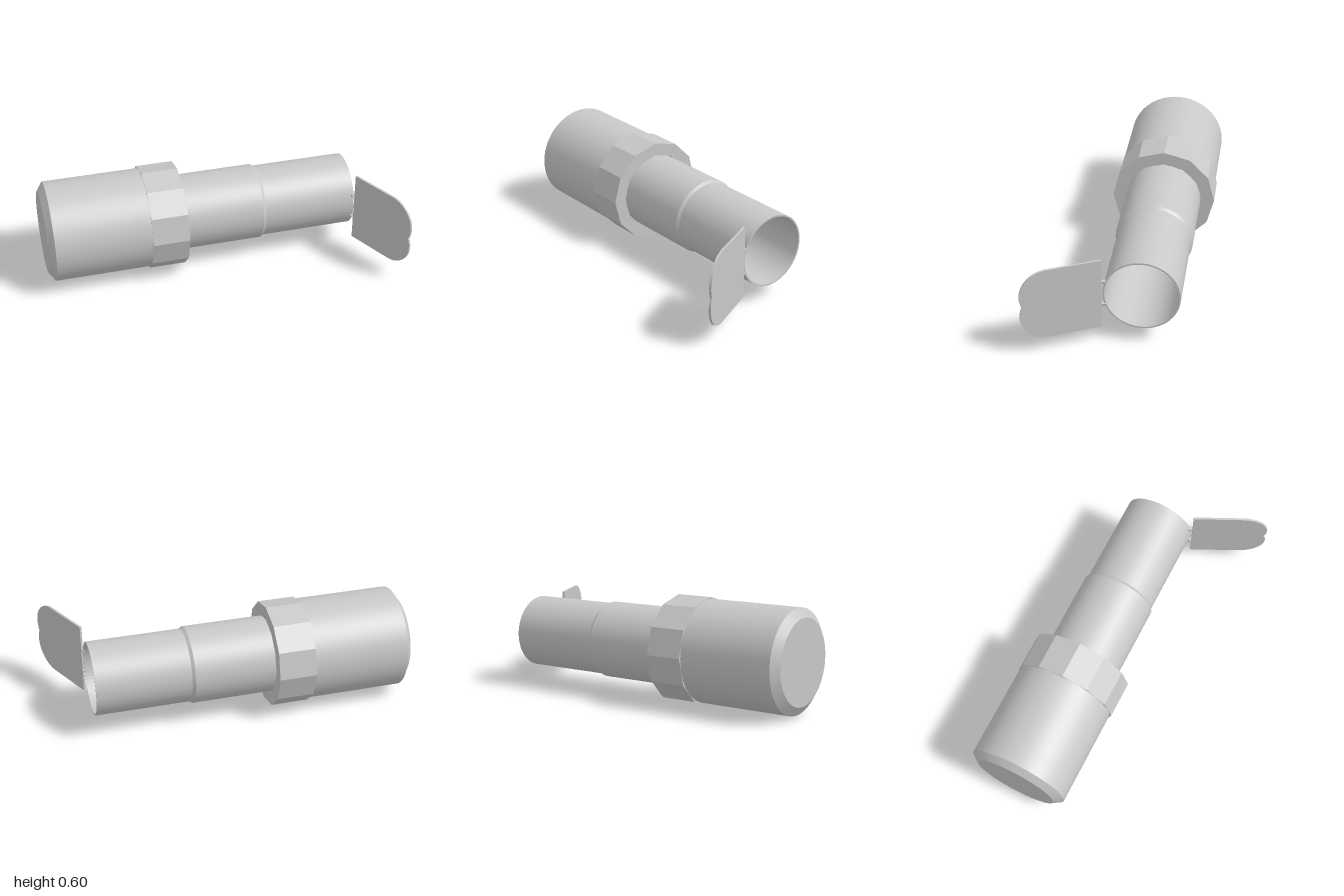
import * as THREE from 'three';
import { toCreasedNormals } from 'three/addons/utils/BufferGeometryUtils.js';

const AXIS_Y = 0.3, AXIS_Z = -0.155;

export function createModel() {
  const group = new THREE.Group();
  const metal = new THREE.MeshStandardMaterial({ color: 0xc8c8c8 });
  metal.name = 'grey metal';

  function add(name, geometry, x, y, z) {
    const mesh = new THREE.Mesh(geometry, metal);
    mesh.name = name;
    mesh.position.set(x, y, z);
    group.add(mesh);
    return mesh;
  }

  // Turned part along the x axis; profile points are [radius, x]
  function turned(name, profile, segments = 72) {
    const points = profile.map(([r, x]) => new THREE.Vector2(r, x));
    const geometry = new THREE.LatheGeometry(points, segments);
    geometry.rotateZ(-Math.PI / 2);
    return add(name, toCreasedNormals(geometry, 0.3), 0, AXIS_Y, AXIS_Z);
  }

  // Wide rear body with a chamfered end
  turned('rearBody', [[0, -1], [0.236, -1], [0.286, -0.965], [0.286, -0.4], [0, -0.4]]);

  // Twelve-sided collar with a matching hole
  turned('collar', [
    [0.222, -0.418], [0.298, -0.418], [0.298, -0.208], [0.222, -0.208], [0.222, -0.418],
  ], 12);

  // Stepped front tube, hollow, with a shallow concave floor
  const floor = [0.197, 0.15, 0.1, 0.05, 0].map((r) => [r, -0.17 + 0.5 * r * r]);
  turned('frontTube', [
    [0, -0.4], [0.217, -0.4], [0.217, 0.25], [0.206, 0.267], [0.206, 0.8], [0.197, 0.8], ...floor,
  ]);

  // Cross wires and hub inside the tube
  add('crossWireVertical', new THREE.BoxGeometry(0.008, 0.39, 0.007), -0.14, AXIS_Y, AXIS_Z);
  add('crossWireHorizontal', new THREE.BoxGeometry(0.008, 0.007, 0.39), -0.14, AXIS_Y, AXIS_Z);
  const hub = new THREE.CylinderGeometry(0.02, 0.02, 0.014, 32);
  hub.rotateZ(Math.PI / 2);
  add('crossWireHub', hub, -0.14, AXIS_Y, AXIS_Z);

  // Open flap cover: a plate ending in two overlapping round lobes
  const cx = 0.289, cy = 0.06, r = 0.15;
  const meet = Math.asin(cy / r);
  const outline = new THREE.Shape();
  outline.moveTo(0, -cy - r);
  outline.lineTo(cx, -cy - r);
  outline.absarc(cx, -cy, r, -Math.PI / 2, meet, false);
  outline.absarc(cx, cy, r, -meet, Math.PI / 2, false);
  outline.lineTo(0, cy + r);
  outline.closePath();
  const plate = new THREE.ExtrudeGeometry(outline, { depth: 0.012, bevelEnabled: false, curveSegments: 24 });
  plate.translate(0, 0, -0.006);
  const flap = add('flapCover', toCreasedNormals(plate, 0.3), 0.803, AXIS_Y, 0.056);
  flap.rotation.y = -1.122;

  // Two small hinge lugs
  for (const side of [-1, 1]) {
    add('hingeLug', new THREE.BoxGeometry(0.022, 0.014, 0.028), 0.796, AXIS_Y + side * 0.07, 0.043);
  }

  return group;
}
